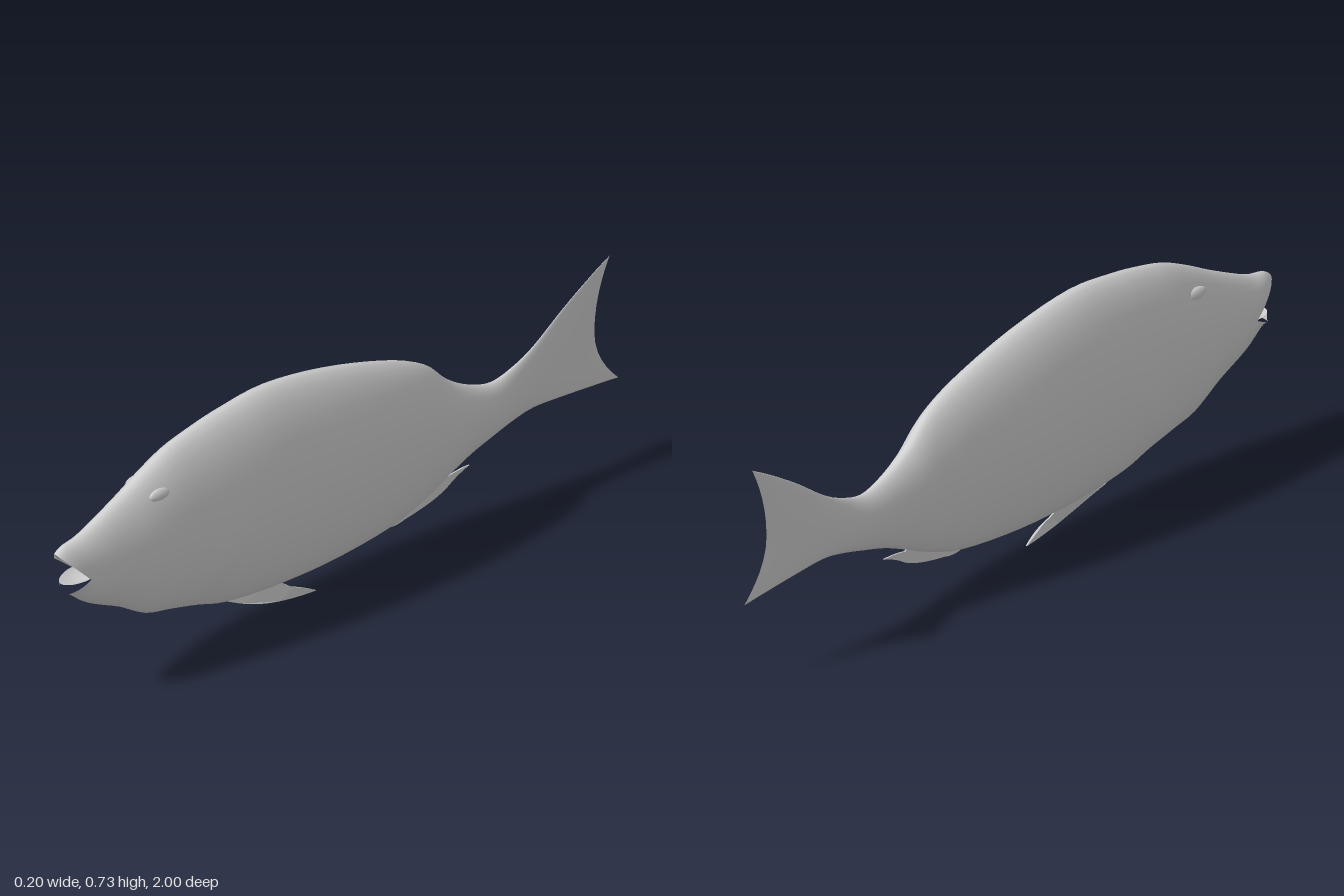
import * as THREE from 'three';

const material = new THREE.MeshStandardMaterial({ color: 0xcccccc });
const SIDES = 32;

function add(group, geometry, name) {
  const mesh = new THREE.Mesh(geometry, material);
  mesh.name = name;
  group.add(mesh);
  return mesh;
}

// Smooth value of column c at position t (in rows) along a list of rows
function spline(rows, t, c) {
  const i = Math.min(Math.floor(t), rows.length - 2), u = t - i;
  const p = k => rows[Math.max(0, Math.min(rows.length - 1, k))][c];
  const a = p(i - 1), b = p(i), d = p(i + 1), e = p(i + 2);
  return b + 0.5 * u * (d - a + u * (2 * a - 5 * b + 4 * d - e + u * (3 * (b - d) + e - a)));
}

// Loft of rings; row = [zTop, top, zMid, mid, zBottom, bottom, halfWidth]
function loft(rows, steps, inward, relief = () => 0) {
  const pos = [], idx = [];
  const count = (rows.length - 1) * steps;
  for (let i = 0; i <= count; i++) {
    const [zt, yt, zm, ym, zb, yb, w] = [0, 1, 2, 3, 4, 5, 6].map(c => spline(rows, i / steps, c));
    for (let j = 0; j < SIDES; j++) {
      const a = j / SIDES * Math.PI * 2, s = Math.sin(a), c = Math.cos(a);
      const h = Math.abs(s), up = s >= 0;
      const y = ym + ((up ? yt : yb) - ym) * h;
      const z = zm + ((up ? zt : zb) - zm) * (zm < 0 ? h * h : h);
      const side = Math.sign(c) * Math.pow(Math.abs(c), 1.12);
      pos.push(side * (w + relief(y, z)), y, z);
      if (i < count) {
        const k = (j + 1) % SIDES, p = i * SIDES, q = p + SIDES;
        if (inward) idx.push(p + j, q + k, q + j, p + j, p + k, q + k);
        else idx.push(p + j, q + j, q + k, p + j, q + k, p + k);
      }
    }
  }
  const g = new THREE.BufferGeometry();
  g.setAttribute('position', new THREE.Float32BufferAttribute(pos, 3));
  g.setIndex(idx);
  g.computeVertexNormals();
  return g;
}

// Thin fin in the z/y plane: outline from start, then quadratic curves
function fin(start, curves) {
  const shape = new THREE.Shape();
  shape.moveTo(-start[0], start[1]);
  for (const [cz, cy, z, y] of curves) shape.quadraticCurveTo(-cz, cy, -z, y);
  return new THREE.ExtrudeGeometry(shape, { depth: 0.004, bevelEnabled: false, curveSegments: 10 })
    .translate(0, 0, -0.002).rotateY(Math.PI / 2);
}

export function createModel() {
  const group = new THREE.Group();
  group.name = 'fish';

  // Body: slanted jaw rings, upright trunk rings, then the forked tail
  const upright = [
    // z, top, mid, bottom, halfWidth
    [0.78, 0.59, 0.40, 0.24, 0.064],
    [0.69, 0.64, 0.40, 0.183, 0.077],
    [0.60, 0.683, 0.40, 0.16, 0.086],
    [0.51, 0.706, 0.40, 0.135, 0.093],
    [0.41, 0.723, 0.40, 0.103, 0.099],
    [0.25, 0.735, 0.40, 0.083, 0.102],
    [0.04, 0.70, 0.39, 0.078, 0.099],
    [-0.18, 0.632, 0.38, 0.098, 0.082],
    [-0.31, 0.567, 0.36, 0.14, 0.064],
    [-0.39, 0.487, 0.345, 0.178, 0.051],
    [-0.47, 0.435, 0.335, 0.213, 0.04],
    [-0.55, 0.41, 0.33, 0.237, 0.03],
    [-0.63, 0.43, 0.34, 0.258, 0.02],
    [-0.70, 0.466, 0.36, 0.268, 0.013],
  ].map(([z, top, mid, bottom, w]) => [z, top, z, mid, z, bottom, w]);
  const rows = [
    [1.0, 0.495, 0.91, 0.40, 0.98, 0.362, 0.045],
    [0.975, 0.512, 0.89, 0.40, 0.955, 0.352, 0.047],
    [0.91, 0.527, 0.85, 0.40, 0.89, 0.298, 0.053],
    ...upright,
    [-0.80, 0.54, -0.78, 0.39, -0.80, 0.261, 0.008],
    [-0.90, 0.605, -0.86, 0.41, -0.91, 0.25, 0.005],
    [-0.97, 0.645, -0.915, 0.42, -1.0, 0.24, 0],
  ];
  // Slight swelling along the rear edge of the gill covers
  const gill = (y, z) => {
    const d = (z - 0.45 - Math.max(0, 0.31 - y)) / 0.05;
    const v = (y - 0.27) / 0.12;
    return 0.006 * Math.exp(-d * d - v * v);
  };
  add(group, loft(rows, 4, false, gill), 'body');

  // Lips and hollow mouth
  add(group, loft([
    [1.0, 0.495, 0.91, 0.40, 0.98, 0.362, 0.045],
    [1.0, 0.48, 0.908, 0.40, 0.982, 0.395, 0.04],
  ], 1, false), 'lips');
  add(group, loft([
    [1.0, 0.48, 0.908, 0.40, 0.982, 0.395, 0.04],
    [0.94, 0.47, 0.88, 0.40, 0.93, 0.385, 0.034],
    [0.86, 0.42, 0.84, 0.40, 0.86, 0.39, 0.015],
    [0.83, 0.40, 0.83, 0.40, 0.83, 0.40, 0],
  ], 3, true), 'mouthCavity');

  // Eyes
  for (const side of [-1, 1]) {
    const eye = add(group, new THREE.SphereGeometry(1, 20, 14), side > 0 ? 'leftEye' : 'rightEye');
    eye.scale.set(0.01, 0.017, 0.038);
    eye.position.set(side * 0.05, 0.58, 0.67);
    eye.rotation.z = side * 0.35;
  }

  // Belly fin, gently bowed sideways
  const belly = fin([0.40, 0.10], [
    [0.33, 0.06, 0.24, 0.035], [0.17, 0.015, 0.08, 0.005],
    [0.13, 0.04, 0.17, 0.055], [0.2, 0.08, 0.24, 0.10],
  ]);
  const p = belly.attributes.position;
  for (let i = 0; i < p.count; i++) {
    const t = THREE.MathUtils.clamp((0.09 - p.getY(i)) / 0.085, 0, 1);
    p.setX(i, p.getX(i) + 0.012 * Math.sin(t * 2.6));
  }
  belly.computeVertexNormals();
  add(group, belly, 'bellyFin');

  // Fin under the rear of the body
  add(group, fin([-0.14, 0.12], [
    [-0.18, 0.08, -0.24, 0.098], [-0.36, 0.115, -0.40, 0.145], [-0.43, 0.165, -0.47, 0.178],
    [-0.43, 0.18, -0.39, 0.172], [-0.36, 0.19, -0.30, 0.17],
  ]), 'analFin');

  return group;
}
